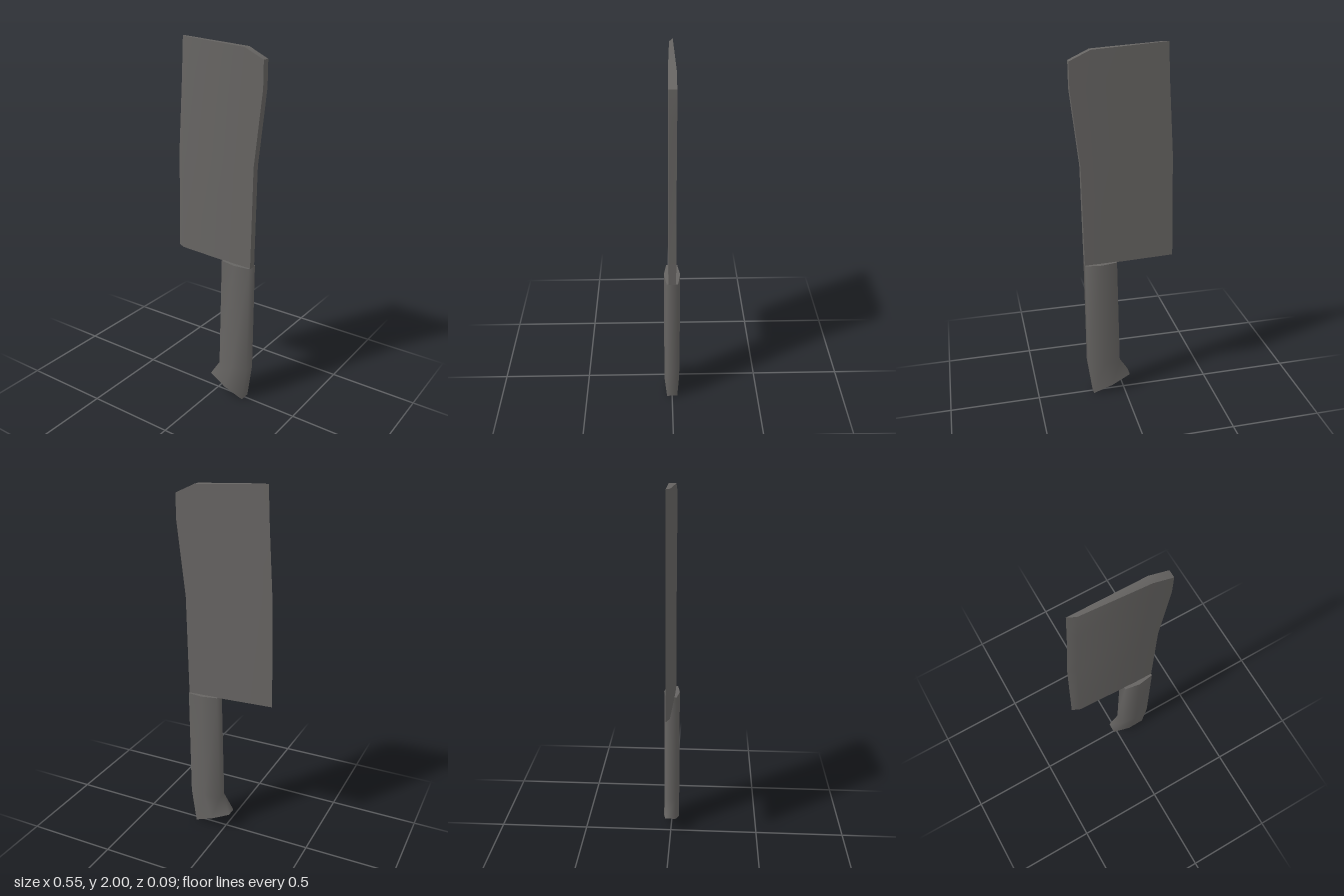
import * as THREE from 'three';
import { toCreasedNormals } from 'three/addons/utils/BufferGeometryUtils.js';

const steel = new THREE.MeshStandardMaterial({ color: 0x666462 });
steel.name = 'dark grey steel';

// Turns a list of corner loops (quads or fans) into a geometry with own corners per face
function facesToGeometry(faces) {
  const pos = [];
  for (const f of faces)
    for (let i = 1; i < f.length - 1; i++) pos.push(...f[0], ...f[i], ...f[i + 1]);
  const geo = new THREE.BufferGeometry();
  geo.setAttribute('position', new THREE.Float32BufferAttribute(pos, 3));
  geo.computeVertexNormals();
  return geo;
}

// Blade: rows from heel to tip, columns from cutting edge to spine
function bladeGeometry() {
  const rows = [
    { edge: [-0.275, 0.843], mid: [0.12, 0.833], spine: [0.217, 0.83] },
    { edge: [-0.262, 1.42], mid: [0.13, 1.4], spine: [0.227, 1.39] },
    { edge: [-0.237, 1.8], mid: [0.155, 1.79], spine: [0.272, 1.79] },
    { edge: [-0.227, 2.0], mid: [0.165, 1.975], spine: [0.272, 1.925] },
  ];
  const zFront = [-0.011, 0.008, 0.02, 0.02];
  const zBack = [-0.011, -0.012, -0.02, -0.02];
  const grid = (z) => rows.map(({ edge, mid, spine }) => {
    const t = 0.042 / (mid[0] - edge[0]); // the bevel ends just behind the edge
    const bevel = [edge[0] + 0.042, edge[1] + (mid[1] - edge[1]) * t];
    return [edge, bevel, mid, spine].map((p, c) => [p[0], p[1], z[c]]);
  });
  const F = grid(zFront), B = grid(zBack), faces = [];
  for (let r = 0; r < 3; r++) {
    for (let c = 0; c < 3; c++) {
      faces.push([F[r][c], F[r][c + 1], F[r + 1][c + 1], F[r + 1][c]]);
      faces.push([B[r][c + 1], B[r][c], B[r + 1][c], B[r + 1][c + 1]]);
    }
    faces.push([F[r][3], B[r][3], B[r + 1][3], F[r + 1][3]]); // spine
  }
  for (let c = 0; c < 3; c++) {
    faces.push([B[0][c + 1], F[0][c + 1], F[0][c], B[0][c]]); // heel
    faces.push([F[3][c], F[3][c + 1], B[3][c + 1], B[3][c]]); // tip
  }
  return toCreasedNormals(facesToGeometry(faces), 0.6);
}

// Handle: six-sided sections from the flared butt up to the blade
const handleRings = [
  [[-0.032, 0.1], [0.183, 0.002]],
  [[0.028, 0.195], [0.211, 0.205]],
  [[0.042, 0.838], [0.216, 0.834]],
].map(([l, r]) => {
  const m = [(l[0] + r[0]) / 2, (l[1] + r[1]) / 2];
  return [[...l, 0.03], [...m, 0.044], [...r, 0.03], [...r, -0.03], [...m, -0.044], [...l, -0.03]];
});

function handleGeometry() {
  const index = [];
  for (let i = 0; i < handleRings.length - 1; i++)
    for (let j = 0; j < 6; j++) {
      const a = i * 6 + j, b = i * 6 + (j + 1) % 6;
      index.push(a, b, b + 6, a, b + 6, a + 6);
    }
  const geo = new THREE.BufferGeometry();
  geo.setAttribute('position', new THREE.Float32BufferAttribute(handleRings.flat(2), 3));
  geo.setIndex(index);
  geo.computeVertexNormals();
  return geo;
}

export function createModel() {
  const model = new THREE.Group();
  model.name = 'cleaver';
  const add = (name, geo) => {
    const mesh = new THREE.Mesh(geo, steel);
    mesh.name = name;
    model.add(mesh);
  };
  add('blade', bladeGeometry());
  add('handle', handleGeometry());
  // Flat ends of the handle
  add('handleButt', facesToGeometry([[...handleRings[0]].reverse()]));
  add('handleTop', facesToGeometry([handleRings[2]]));
  return model;
}
